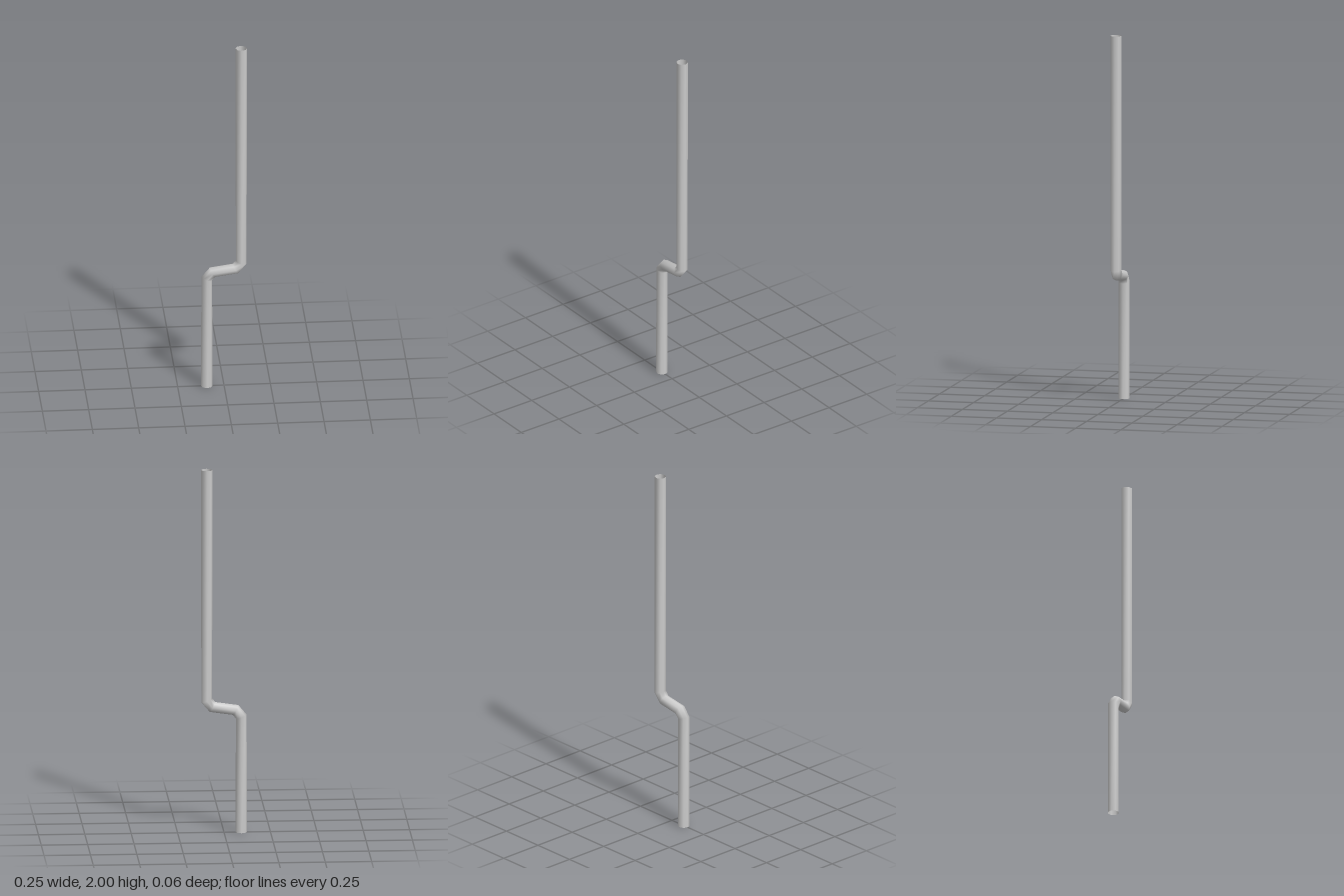
import * as THREE from 'three';

const RADIUS = 0.031;
const SIDES = 8;

// Centre line of the pipe in the x-y plane
const PATH = [
  [-0.093, 0], [-0.093, 0.637], [-0.062, 0.674],
  [0.062, 0.692], [0.093, 0.729], [0.093, 2],
].map(([x, y]) => new THREE.Vector2(x, y));

// Open tube: one ring per path point, tilted halfway between its two segments
function pipeGeometry(path, radius, sides) {
  const positions = [];
  const indices = [];
  const direction = (i) => path[i + 1].clone().sub(path[i]).normalize();
  path.forEach((p, i) => {
    const before = direction(Math.max(i - 1, 0));
    const after = direction(Math.min(i, path.length - 2));
    const t = before.add(after).normalize();
    for (let s = 0; s < sides; s++) {
      const a = (s / sides) * Math.PI * 2;
      const across = radius * Math.cos(a);
      positions.push(p.x + t.y * across, p.y - t.x * across, radius * Math.sin(a));
    }
    if (i === 0) return;
    for (let s = 0; s < sides; s++) {
      const n = (s + 1) % sides;
      const low = (i - 1) * sides;
      const high = i * sides;
      indices.push(low + s, high + s, low + n, high + s, high + n, low + n);
    }
  });
  const geometry = new THREE.BufferGeometry();
  geometry.setAttribute('position', new THREE.Float32BufferAttribute(positions, 3));
  geometry.setIndex(indices);
  geometry.computeVertexNormals();
  return geometry;
}

export function createModel() {
  const group = new THREE.Group();
  group.name = 'offsetPipe';

  // Hollow pipe, open at both ends
  const material = new THREE.MeshStandardMaterial({ color: 0xcccccc, side: THREE.DoubleSide });
  const pipe = new THREE.Mesh(pipeGeometry(PATH, RADIUS, SIDES), material);
  pipe.name = 'pipe';
  group.add(pipe);
  return group;
}
